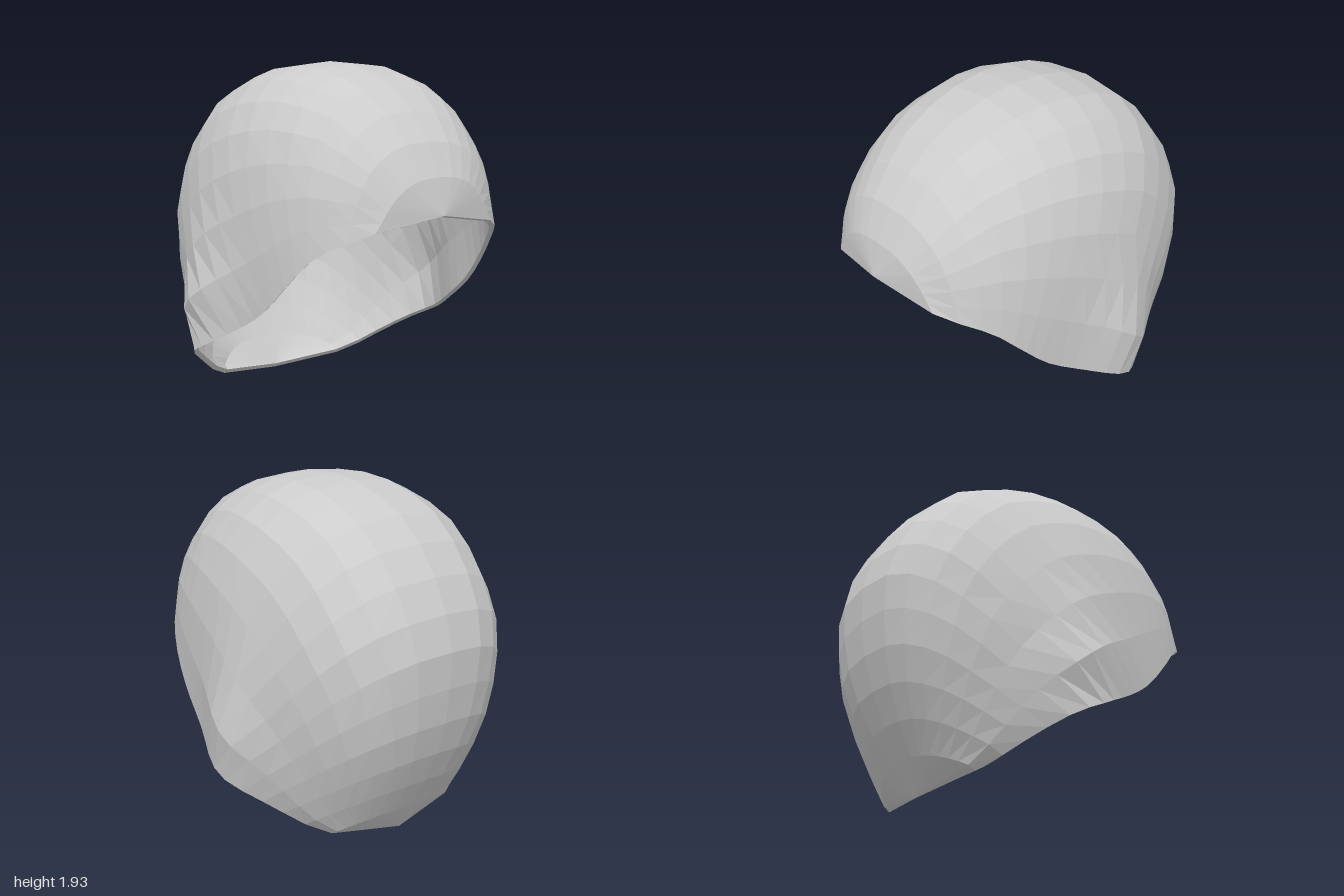
import * as THREE from 'three';

const curve = (pts) => new THREE.SplineCurve(pts.map(([z, y]) => new THREE.Vector2(z, y)));

// Centre line over the head, from brow to nape, as (z, y)
const midline = curve([[1, 1.17], [0.94, 1.4], [0.81, 1.6], [0.57, 1.81], [0.25, 1.91], [0, 1.93], [-0.3, 1.89],
  [-0.61, 1.76], [-0.82, 1.54], [-0.94, 1.33], [-1, 1.1], [-0.96, 0.69], [-0.83, 0.36], [-0.62, 0]]);
// Open rim seen from the side, from brow to nape, as (z, y)
const rimLine = curve([[1, 1.17], [0.92, 1.1], [0.72, 0.98], [0.6, 0.86], [0.36, 0.62], [0, 0.41],
  [-0.2, 0.31], [-0.35, 0.2], [-0.5, 0.07], [-0.62, 0]]);

const CENTRE_Y = 0.85;
const SECTIONS = 20; // brow to nape
const HALF = 8; // rim to centre line
const POWER = 2.6; // roundness of the sides
const THICKNESS = 0.03;

// Angle and radius about the centre, with the cut in the angle below the open rim
function polar(z, y) {
  let a = Math.atan2(y - CENTRE_Y, z);
  if (a < -1.1) a += Math.PI * 2;
  return { a, r: Math.hypot(z, y - CENTRE_Y) };
}
const outline = midline.getSpacedPoints(200).map((p) => polar(p.x, p.y));

// Distance from the centre to the centre line at an angle
function outlineRadius(a) {
  if (a <= outline[0].a) return outline[0].r;
  for (let i = 1; i < outline.length; i++) {
    const p = outline[i - 1], q = outline[i];
    if (a <= q.a) return THREE.MathUtils.mapLinear(a, p.a, q.a, p.r, q.r);
  }
  return outline[outline.length - 1].r;
}

// Half width of the shell at a side position, with a swelling over the ear
function halfWidth(z, y) {
  const { a, r } = polar(z, y);
  const round = Math.pow(Math.max(0, 1 - Math.pow(r / outlineRadius(a), POWER)), 1 / POWER);
  const dz = (z + 0.13) / (z < -0.13 ? 0.15 : 0.2);
  const dy = (y - 0.47) / 0.33;
  const ear = 0.14 * Math.exp(-(dz * dz + dy * dy) / 2);
  return (0.76 - 0.06 * Math.max(0, z)) * round + ear * Math.min(1, round * 1.5);
}

function shellGeometry() {
  const positions = [], index = [];
  const cols = HALF * 2 + 1;
  const layer = (SECTIONS + 1) * cols;
  // Outer layer, then the same arches drawn in for the lining
  for (const scale of [1, 1 - THICKNESS]) {
    for (let i = 0; i <= SECTIONS; i++) {
      const rim = rimLine.getPointAt(i / SECTIONS);
      const mid = midline.getPointAt(i / SECTIONS);
      for (let j = 0; j < cols; j++) {
        const k = HALF - j;
        const p = rim.clone().lerp(mid, Math.cos((Math.abs(k) / HALF) * Math.PI / 2));
        const x = k === 0 ? 0 : Math.sign(k) * halfWidth(p.x, p.y);
        positions.push(x * scale, CENTRE_Y + (p.y - CENTRE_Y) * scale, p.x * scale);
      }
    }
  }
  for (let i = 0; i < SECTIONS; i++) {
    for (let j = 0; j < cols - 1; j++) {
      const a = i * cols + j, b = a + cols, c = a + 1, d = b + 1;
      index.push(a, b, c, b, d, c);
      index.push(a + layer, c + layer, b + layer, b + layer, c + layer, d + layer);
    }
    // Rim edge on both sides
    const l = i * cols, l2 = l + cols, r = l + cols - 1, r2 = r + cols;
    index.push(l, l + layer, l2, l2, l + layer, l2 + layer);
    index.push(r, r2, r + layer, r2, r2 + layer, r + layer);
  }
  const geometry = new THREE.BufferGeometry();
  geometry.setAttribute('position', new THREE.Float32BufferAttribute(positions, 3));
  geometry.setIndex(index);
  const flat = geometry.toNonIndexed();
  flat.computeVertexNormals();
  return flat;
}

export function createModel() {
  const group = new THREE.Group();
  group.name = 'cap';
  const material = new THREE.MeshStandardMaterial({ color: 0xcccccc, flatShading: true });
  const shell = new THREE.Mesh(shellGeometry(), material);
  shell.name = 'capShell';
  group.add(shell);
  return group;
}
